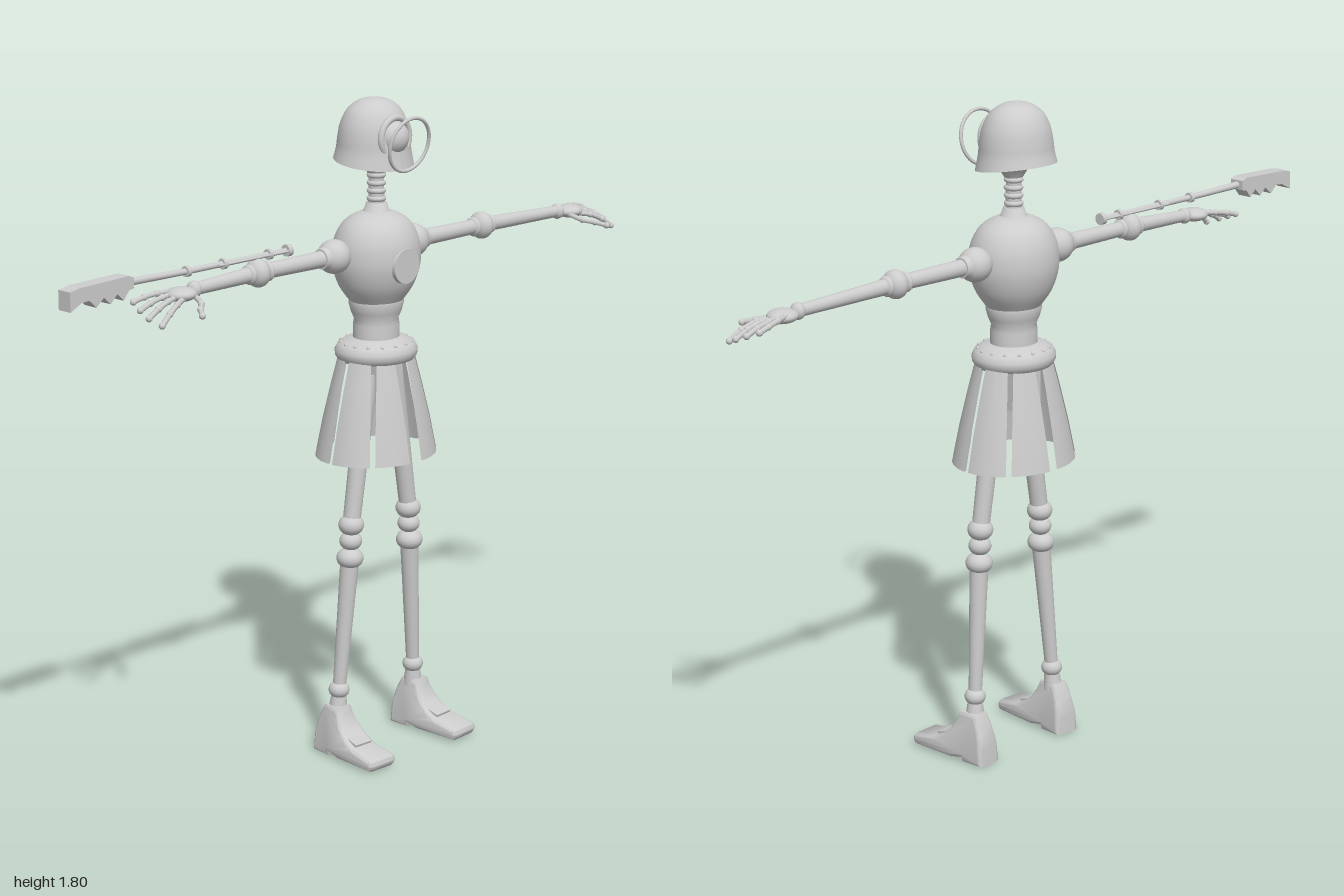
import * as THREE from 'three';
import { toCreasedNormals } from 'three/addons/utils/BufferGeometryUtils.js';

const UP = new THREE.Vector3(0, 1, 0);
const V = (x, y, z) => new THREE.Vector3(x, y, z);

export function createModel() {
  const grey = new THREE.MeshStandardMaterial({ color: 0xcccccc, side: THREE.DoubleSide });
  grey.name = 'grey metal';

  const root = new THREE.Group();
  root.name = 'mechanicalFigure';
  const body = new THREE.Group();
  body.name = 'body';
  body.position.set(0.07, 0, -0.025);
  root.add(body);

  const add = (parent, name, geo, x = 0, y = 0, z = 0) => {
    const m = new THREE.Mesh(geo, grey);
    m.name = name;
    m.position.set(x, y, z);
    parent.add(m);
    return m;
  };
  const ball = (parent, name, p, r, sx = 1, sy = 1, sz = 1) =>
    add(parent, name, new THREE.SphereGeometry(r, 24, 16).scale(sx, sy, sz), p.x, p.y, p.z);
  const limb = (parent, name, a, b, ra, rb) => {
    const d = b.clone().sub(a);
    const m = add(parent, name, new THREE.CylinderGeometry(rb, ra, d.length(), 20));
    m.position.copy(a).addScaledVector(d, 0.5);
    m.quaternion.setFromUnitVectors(UP, d.normalize());
    return m;
  };
  // Profile given as [radius, height] pairs, bottom to top
  const turned = (parent, name, pts, sz = 1, curved = false) => {
    let p = pts.map(([r, y]) => new THREE.Vector2(r, y));
    if (curved) p = new THREE.SplineCurve(p).getPoints(28).map(q => q.set(Math.max(q.x, 0), q.y));
    return add(parent, name, new THREE.LatheGeometry(p, 40).scale(1, 1, sz));
  };

  // Helmet: flared dome whose rim dips toward the front
  const helmet = turned(body, 'helmet', [[0.112, 1.63], [0.104, 1.665], [0.1, 1.7], [0.092, 1.735],
    [0.073, 1.77], [0.04, 1.793], [0, 1.8]], 0.92, true);
  const hp = helmet.geometry.attributes.position;
  for (let i = 0; i < hp.count; i++) {
    const low = Math.max(0, (1.7 - hp.getY(i)) / 0.07);
    hp.setY(i, hp.getY(i) - low * hp.getZ(i) * 0.14);
  }
  helmet.geometry.computeVertexNormals();
  helmet.position.z = -0.01;
  turned(body, 'jaw', [[0.026, 1.6], [0.042, 1.625], [0.085, 1.65], [0.09, 1.68]], 0.9);

  // Single eye, its rim and the lens ring held in front of it
  ball(body, 'eye', V(0, 1.7, 0.056), 0.046);
  add(body, 'eyeRim', new THREE.TorusGeometry(0.053, 0.009, 12, 40), 0, 1.7, 0.068);
  const lens = add(body, 'lensRing', new THREE.TorusGeometry(0.073, 0.005, 10, 48), 0, 1.688, 0.12);
  lens.rotation.x = 0.2;

  // Ringed neck
  limb(body, 'neck', V(0, 1.47, 0), V(0, 1.63, 0), 0.022, 0.02);
  for (let i = 0; i < 5; i++) {
    const ring = add(body, 'neckRing', new THREE.TorusGeometry(0.019, 0.007, 10, 28), 0, 1.53 + i * 0.021, 0);
    ring.rotation.x = Math.PI / 2;
  }
  turned(body, 'neckBase', [[0.05, 1.485], [0.034, 1.5], [0.027, 1.52], [0.022, 1.52]]);

  // Rounded chest, chest disc, narrow waist and belt
  turned(body, 'chest', [[0.077, 1.256], [0.105, 1.295], [0.121, 1.337], [0.126, 1.378], [0.119, 1.425],
    [0.094, 1.468], [0.05, 1.494], [0, 1.502]], 0.9, true);
  const disc = add(body, 'chestDisc', new THREE.CylinderGeometry(0.047, 0.05, 0.03, 36), 0, 1.362, 0.099);
  disc.rotation.x = Math.PI / 2;
  turned(body, 'waist', [[0.066, 1.14], [0.066, 1.19], [0.063, 1.205], [0.072, 1.225], [0.079, 1.25], [0.074, 1.262]], 0.9);
  turned(body, 'belt', [[0, 1.095], [0.108, 1.095], [0.116, 1.108], [0.117, 1.122], [0.108, 1.138],
    [0.088, 1.149], [0.066, 1.155]], 0.92);
  for (let i = 0; i < 16; i++) {
    const a = (i + 0.5) * Math.PI / 8;
    ball(body, 'beltStud', V(Math.sin(a) * 0.1, 1.142, Math.cos(a) * 0.092), 0.005);
  }

  // Skirt of eight curved panels with even slits, the widest in front
  const skirt = [[0.109, 1.11], [0.131, 1.03], [0.156, 0.93], [0.177, 0.83], [0.171, 0.83],
    [0.15, 0.93], [0.125, 1.03], [0.103, 1.11], [0.109, 1.11]].map(p => new THREE.Vector2(...p));
  const halfSlit = i => (i % 8 === 0 ? 0.025 : i === 4 ? 0.015 : 0.008);
  for (let i = 0; i < 8; i++) {
    const geo = new THREE.LatheGeometry(skirt, 8, 0, 1);
    const p = geo.attributes.position;
    for (let k = 0; k < p.count; k++) {
      const r = Math.hypot(p.getX(k), p.getZ(k));
      const phi = THREE.MathUtils.lerp(i * Math.PI / 4 + halfSlit(i) / r,
        (i + 1) * Math.PI / 4 - halfSlit(i + 1) / r, Math.floor(k / skirt.length) / 8);
      p.setXYZ(k, r * Math.sin(phi), p.getY(k), r * Math.cos(phi) * 0.86);
    }
    add(body, 'skirtPanel', toCreasedNormals(geo, 0.7));
  }
  add(body, 'pelvis', new THREE.BoxGeometry(0.1, 0.12, 0.1), 0, 1.04, 0);

  // Foot: side outline swept across its width, narrowed toward the ankle
  const outline = new THREE.Shape();
  outline.moveTo(-0.058, 0);
  outline.lineTo(0.008, 0);
  outline.lineTo(0.012, 0.012);
  outline.lineTo(0.05, 0.004);
  outline.lineTo(0.18, 0.004);
  outline.quadraticCurveTo(0.198, 0.022, 0.18, 0.036);
  outline.lineTo(0.115, 0.048);
  outline.quadraticCurveTo(0.05, 0.07, 0.03, 0.14);
  outline.lineTo(-0.026, 0.14);
  outline.quadraticCurveTo(-0.052, 0.09, -0.055, 0.05);
  outline.closePath();
  const footGeo = new THREE.ExtrudeGeometry(outline, { depth: 0.066, bevelEnabled: true, bevelSize: 0.01,
    bevelThickness: 0.015, bevelOffset: -0.01, bevelSegments: 4, curveSegments: 8 });
  footGeo.translate(0, 0, -0.033).rotateY(-Math.PI / 2);
  const fp = footGeo.attributes.position;
  for (let i = 0; i < fp.count; i++) {
    const t = THREE.MathUtils.clamp((fp.getY(i) - 0.035) / 0.105, 0, 1);
    const heel = THREE.MathUtils.clamp((0.06 - fp.getZ(i)) / 0.1, 0, 1);
    fp.setX(i, fp.getX(i) * (1 - 0.4 * t) * (1 - 0.18 * heel));
  }
  const shoe = toCreasedNormals(footGeo, 0.9);

  for (const s of [1, -1]) {
    // Leg: thigh, triple-ball knee, shin, ankle and shoe
    const leg = new THREE.Group();
    leg.name = s > 0 ? 'leftLeg' : 'rightLeg';
    body.add(leg);
    const P = (x, y, z = 0.015) => V(s * x, y, z);
    limb(leg, 'thigh', P(0.112, 0.65), P(0.048, 1.06), 0.024, 0.028);
    ball(leg, 'upperKnee', P(0.112, 0.65), 0.035, 1, 0.85, 1);
    ball(leg, 'middleKnee', P(0.114, 0.605), 0.031, 1, 0.85, 1);
    ball(leg, 'lowerKnee', P(0.117, 0.557), 0.037, 1, 0.8, 1);
    limb(leg, 'shin', P(0.147, 0.18, 0.002), P(0.117, 0.557), 0.018, 0.026);
    ball(leg, 'ankle', P(0.147, 0.182, 0.002), 0.029, 1, 0.85, 1);
    limb(leg, 'ankleStem', P(0.15, 0.12, 0), P(0.147, 0.17, 0.002), 0.027, 0.02);
    const foot = new THREE.Group();
    foot.name = 'foot';
    foot.position.set(s * 0.154, 0, 0);
    foot.rotation.y = s * 0.06;
    leg.add(foot);
    add(foot, 'shoe', shoe);
    const strap = add(foot, 'shoeStrap', new THREE.BoxGeometry(0.058, 0.012, 0.035), 0, 0.057, 0.092);
    strap.rotation.x = 0.3;

    // Arm: shoulder, elbow, forearm and wrist; the right forearm is shorter
    const arm = new THREE.Group();
    arm.name = s > 0 ? 'leftArm' : 'rightArm';
    body.add(arm);
    const az = -0.01, wrist = s > 0 ? 0.75 : 0.65;
    const A = (x, y = 1.393, z = az) => V(s * x, y, z);
    limb(arm, 'shoulderStem', A(0.09), A(0.15), 0.03, 0.03);
    ball(arm, 'shoulder', A(0.15), 0.046);
    limb(arm, 'shoulderCollar', A(0.185), A(0.2), 0.031, 0.027);
    limb(arm, 'upperArm', A(0.17), A(0.42), 0.023, 0.02);
    ball(arm, 'elbow', A(0.428), 0.038, 0.8, 1, 1);
    for (const x of [0.395, 0.458]) ball(arm, 'elbowCollar', A(x), 0.027, 0.5, 1, 1);
    limb(arm, 'forearm', A(0.44), A(wrist, 1.386), 0.021, 0.016);
    ball(arm, 'wrist', A(wrist, 1.386), 0.022, 0.8, 1, 1);

    // Hand: flat palm, four fanned drooping fingers and a thumb
    const hand = new THREE.Group();
    hand.name = 'hand';
    arm.add(hand);
    ball(hand, 'palm', A(wrist + 0.045, 1.382, az + 0.004), 0.041, 1, 0.45, 0.95);
    const digit = (name, pts) => {
      const curve = new THREE.CatmullRomCurve3(pts);
      add(hand, name, new THREE.TubeGeometry(curve, 12, 0.007, 8));
      pts.forEach(p => ball(hand, name + 'Joint', p, 0.0088));
    };
    for (let i = 0; i < 4; i++) {
      const f = i - 1.5, len = 0.178 - Math.abs(f - 0.2) * 0.01;
      digit('finger', [[0.36, 0.016, 0], [0.58, 0.026, 0.15], [0.8, 0.033, 0.5], [1, 0.037, 1]]
        .map(([k, spread, drop]) => A(wrist + len * k, 1.388 - i * 0.004 - drop * (0.016 + i * 0.01),
          az + 0.008 * k + f * spread)));
    }
    digit('thumb', [A(wrist + 0.02, 1.38, az + 0.02), A(wrist + 0.035, 1.365, az + 0.065),
      A(wrist + 0.06, 1.358, az + 0.09), A(wrist + 0.08, 1.35, az + 0.118)]);
  }

  // Long toothed key floating above the right arm
  const key = new THREE.Group();
  key.name = 'toothedKey';
  key.position.set(0, 1.435, -0.038);
  root.add(key);
  limb(key, 'thickShaft', V(-0.82, 0.004, 0), V(-0.6, 0, 0), 0.01, 0.008);
  limb(key, 'thinShaft', V(-0.6, 0, 0), V(-0.25, 0, 0), 0.008, 0.007);
  for (const x of [-0.6, -0.475, -0.315]) limb(key, 'shaftRing', V(x - 0.006, 0, 0), V(x + 0.006, 0, 0), 0.014, 0.014);
  limb(key, 'endCap', V(-0.255, 0, 0), V(-0.24, 0, 0), 0.016, 0.016);
  for (const z of [-0.011, 0.011]) limb(key, 'sideRod', V(-0.5, 0, z), V(-0.25, 0, z), 0.003, 0.003);
  const blade = new THREE.Shape();
  [[-1, 0.014], [-0.97, 0.02], [-0.81, 0.025], [-0.795, 0.018], [-0.795, -0.008], [-0.812, -0.012],
    [-0.83, -0.034], [-0.85, -0.014], [-0.872, -0.036], [-0.893, -0.016], [-0.918, -0.037], [-0.94, -0.016],
    [-0.965, -0.018], [-1, -0.036]].forEach(([x, y], i) => (i ? blade.lineTo(x, y) : blade.moveTo(x, y)));
  blade.closePath();
  add(key, 'keyTeeth', new THREE.ExtrudeGeometry(blade, { depth: 0.044, bevelEnabled: false }).translate(0, 0, -0.022));

  return root;
}
